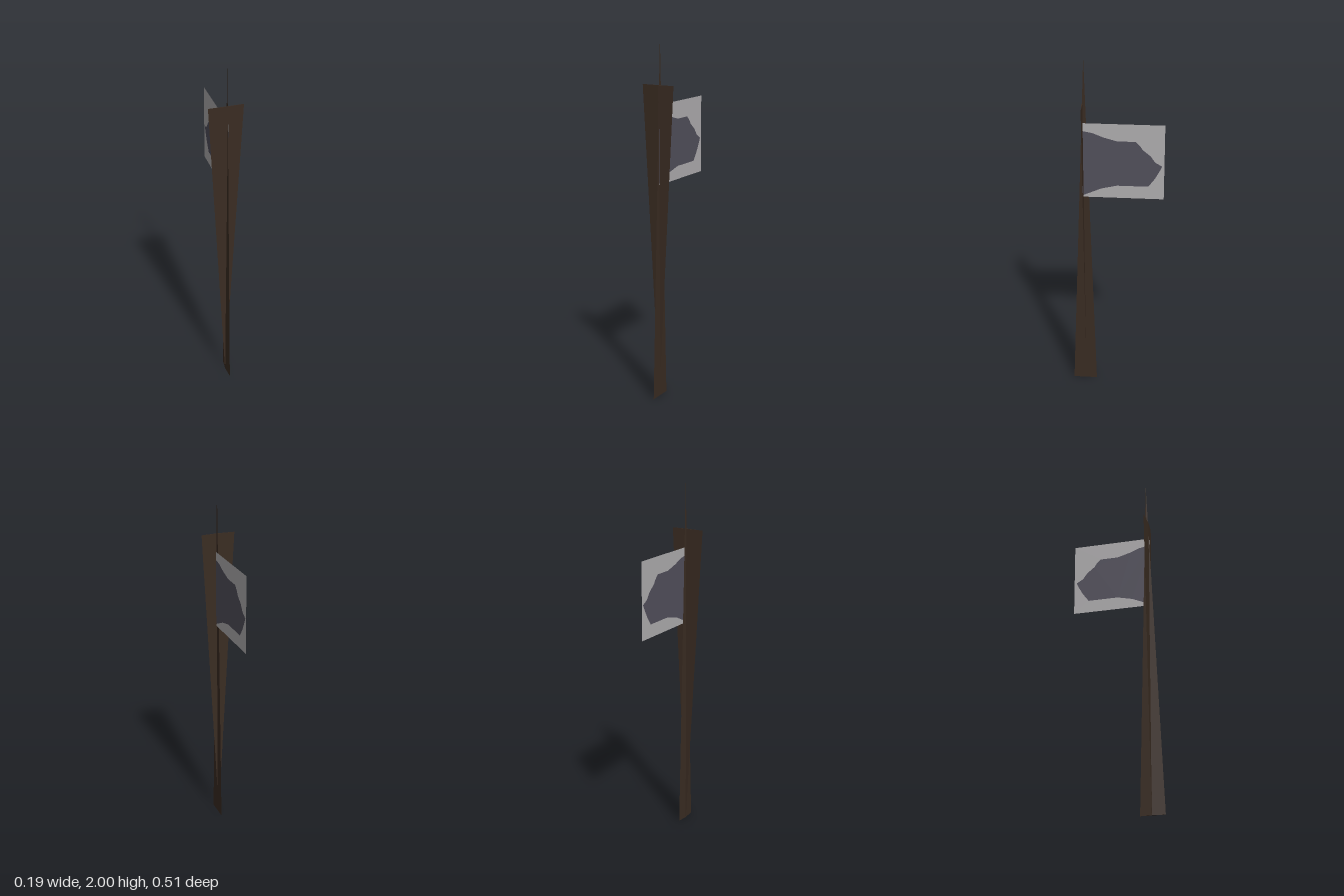
import * as THREE from 'three';

const wood = new THREE.MeshStandardMaterial({ color: 0x3a2c22, side: THREE.DoubleSide });
wood.name = 'dark wood';
const cloth = new THREE.MeshStandardMaterial({ color: 0xb0aeb0, side: THREE.DoubleSide });
cloth.name = 'pale grey cloth';
const patch = new THREE.MeshStandardMaterial({ color: 0x52505c, side: THREE.DoubleSide });
patch.name = 'slate patch';

// Thin spike: a three-cornered end tapering to a tip
function spike(name, a, b, c, tip) {
  const faces = [a, b, tip, b, c, tip, c, a, tip, a, c, b];
  const geometry = new THREE.BufferGeometry();
  geometry.setAttribute('position', new THREE.Float32BufferAttribute(faces.flat(), 3));
  geometry.computeVertexNormals();
  const mesh = new THREE.Mesh(geometry, wood);
  mesh.name = name;
  return mesh;
}

// Flat panel from a (z, y) outline, standing in the plane of the flag
function panel(name, points, material) {
  const shape = new THREE.Shape(points.map(([z, y]) => new THREE.Vector2(z, y)));
  const mesh = new THREE.Mesh(new THREE.ShapeGeometry(shape), material);
  mesh.name = name;
  mesh.rotation.y = -Math.PI / 2;
  mesh.position.x = 0.013;
  return mesh;
}

export function createModel() {
  const model = new THREE.Group();
  model.name = 'flagOnStakes';

  // Two crossed stakes, one pointing up and one pointing down
  model.add(spike('uprightStake',
    [0.01, 0, 0.255], [0.01, 0, 0.12], [0.004, 0, 0.185], [0.008, 2, 0.173]));
  model.add(spike('invertedStake',
    [-0.095, 1.74, 0.181], [0.095, 1.74, 0.181], [0.005, 1.74, 0.187], [0.003, 0, 0.183]));

  // Ragged patch outline, from the hoist edge out to its tip and back
  const outline = [
    [0.189, 1.594], [0.13, 1.583], [0.075, 1.561], [0, 1.54], [-0.1, 1.54],
    [-0.125, 1.515], [-0.137, 1.495], [-0.18, 1.46], [-0.205, 1.424], [-0.243, 1.402],
    [-0.228, 1.37], [-0.205, 1.328], [-0.17, 1.28], [0, 1.28], [0.085, 1.26], [0.189, 1.214],
  ];
  const flag = new THREE.Group();
  flag.name = 'flag';
  flag.add(panel('flagPatch', outline, patch));
  // Cloth surrounds the patch on three sides
  flag.add(panel('flagCloth', [
    ...outline, [0.189, 1.207], [-0.255, 1.207], [-0.255, 1.638], [0.189, 1.638],
  ], cloth));
  model.add(flag);

  return model;
}
